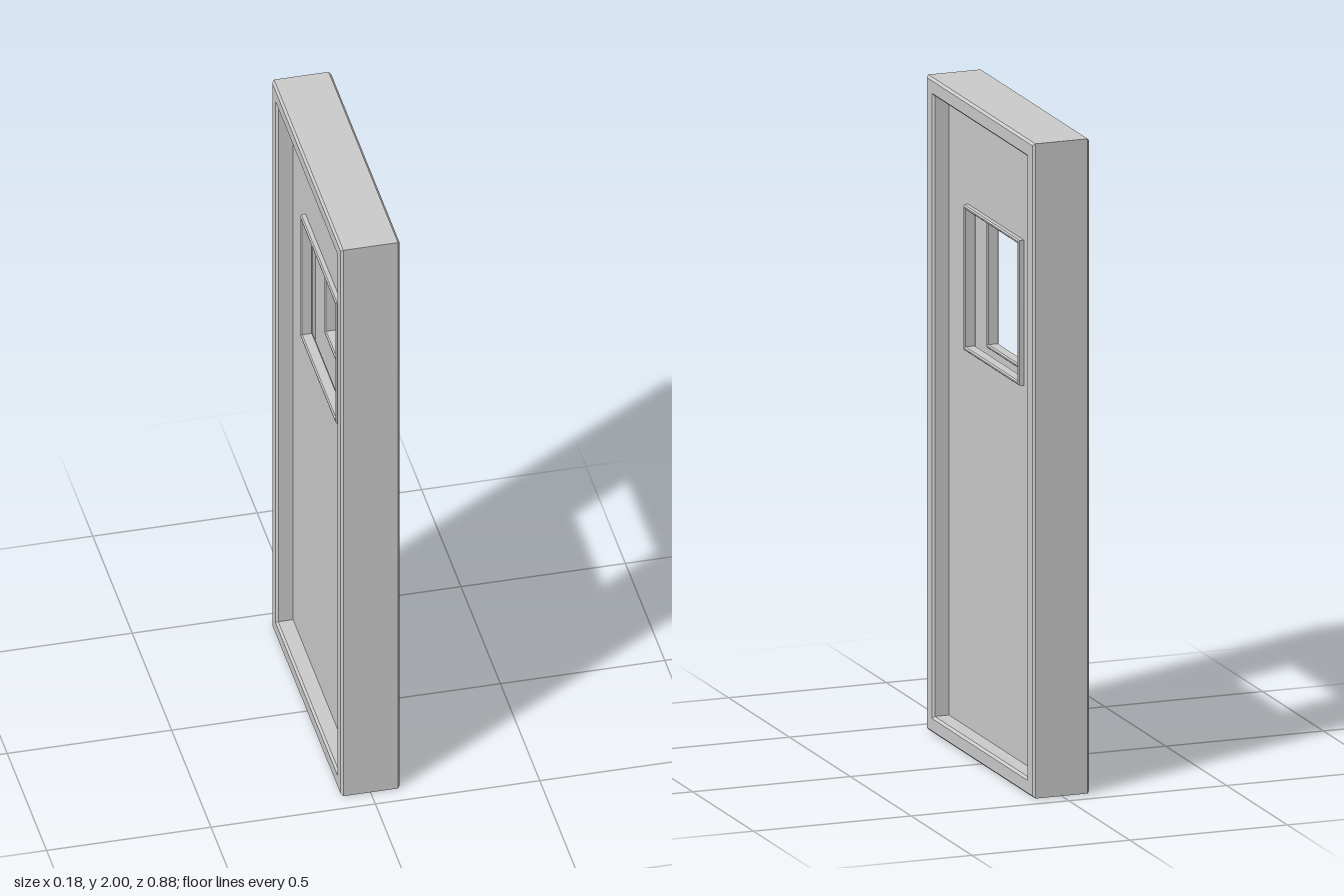
import * as THREE from 'three';

const material = new THREE.MeshStandardMaterial({ color: 0xcccccc, flatShading: true, side: THREE.DoubleSide });

// Rectangle outline: half width w, from y0 to y1
function trace(path, w, y0, y1) {
  path.moveTo(-w, y0);
  path.lineTo(w, y0);
  path.lineTo(w, y1);
  path.lineTo(-w, y1);
  path.closePath();
  return path;
}

// Rectangular ring facing x, spanning x0..x1, with chamfered rims
function ring(name, outer, inner, x0, x1, bevel) {
  const shape = trace(new THREE.Shape(), ...outer);
  shape.holes.push(trace(new THREE.Path(), ...inner));
  const geometry = new THREE.ExtrudeGeometry(shape, {
    depth: x1 - x0 - 2 * bevel,
    bevelEnabled: bevel > 0,
    bevelThickness: bevel,
    bevelSize: bevel,
    bevelOffset: -bevel,
    bevelSegments: 1,
  });
  geometry.translate(0, 0, x0 + bevel);
  geometry.rotateY(Math.PI / 2);
  const mesh = new THREE.Mesh(geometry, material);
  mesh.name = name;
  return mesh;
}

export function createModel() {
  const door = new THREE.Group();
  door.name = 'door';

  // Deep surrounding frame
  door.add(ring('frame', [0.44, 0, 2], [0.386, 0.052, 1.948], -0.09, 0.09, 0.007));

  // Hollow door leaf: one skin and one window trim per side
  for (const side of [-1, 1]) {
    const span = (a, b) => (side > 0 ? [a, b] : [-b, -a]);
    const name = side > 0 ? 'left' : 'right';
    door.add(ring(name + 'Panel', [0.39, 0.048, 1.952], [0.222, 1.213, 1.643], ...span(0.03, 0.038), 0));
    door.add(ring(name + 'WindowTrim', [0.228, 1.207, 1.651], [0.216, 1.219, 1.639], ...span(0.018, 0.055), 0.004));
  }
  return door;
}
